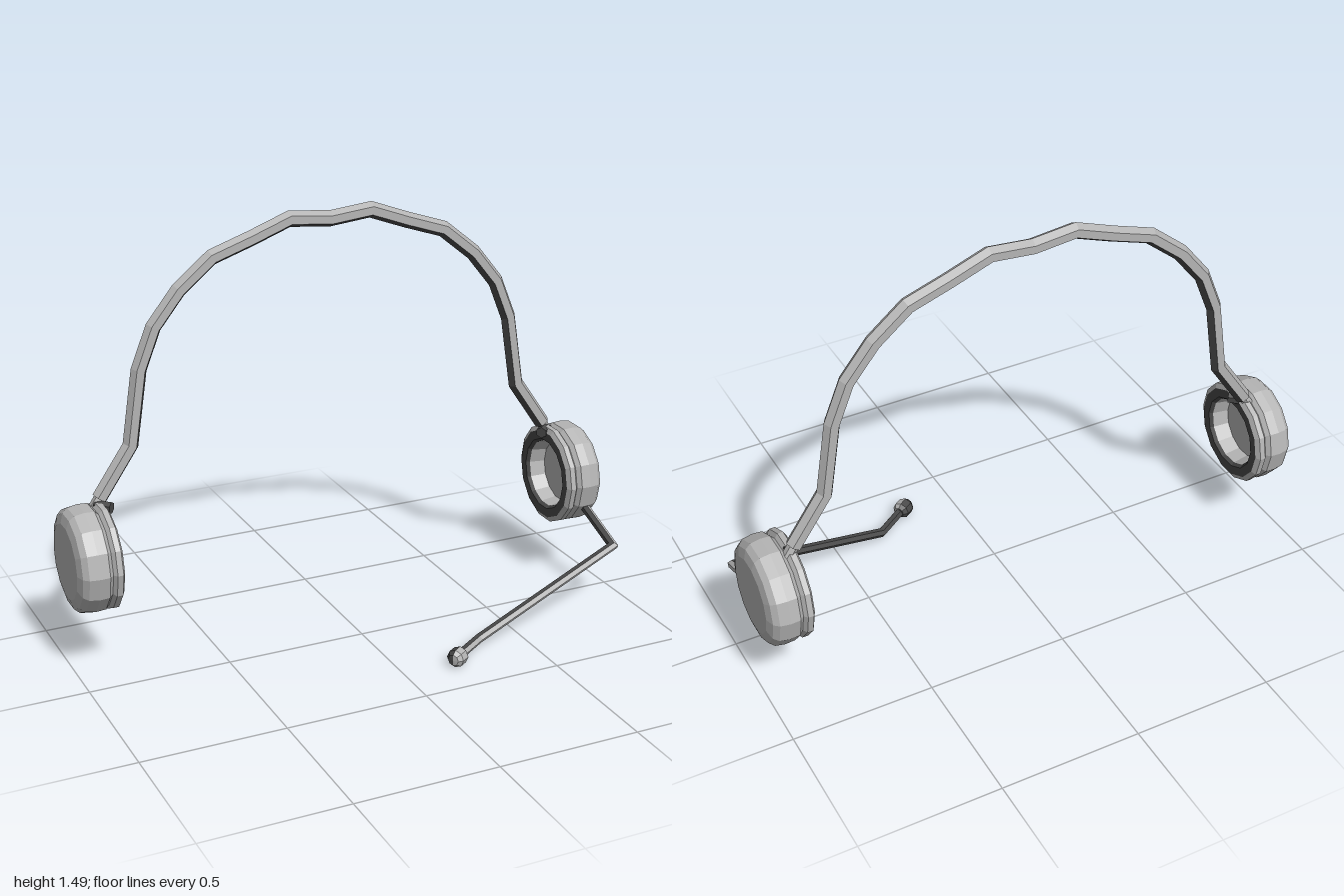
import * as THREE from 'three';

// Faceted normals
function flat(geo) {
  const g = geo.toNonIndexed();
  g.computeVertexNormals();
  return g;
}

// Mitred hexagonal rod along a polyline; `up` points to the first corner,
// `lined` lists the sides that take the second material
function sweep(path, radius, up, lined = []) {
  const sides = 6;
  const pts = path.map(p => new THREE.Vector3(...p));
  const dirs = pts.slice(1).map((p, i) => p.clone().sub(pts[i]).normalize());
  const u = new THREE.Vector3(...up);
  u.addScaledVector(dirs[0], -dirs[0].dot(u)).normalize();
  const v = dirs[0].clone().cross(u);
  const pos = [], main = [], lining = [];
  let ring = [];
  for (let k = 0; k < sides; k++) {
    const a = k / sides * Math.PI * 2;
    ring.push(pts[0].clone().addScaledVector(u, radius * Math.cos(a)).addScaledVector(v, radius * Math.sin(a)));
  }
  pts.forEach((p, i) => {
    if (i > 0) {
      const d = dirs[i - 1];
      const n = d.clone().add(dirs[i] || d).normalize();
      ring = ring.map(q => q.clone().addScaledVector(d, p.clone().sub(q).dot(n) / d.dot(n)));
    }
    ring.forEach(q => pos.push(q.x, q.y, q.z));
    if (i > 0) for (let k = 0; k < sides; k++) {
      const a = (i - 1) * sides + k, b = (i - 1) * sides + (k + 1) % sides;
      (lined.includes(k) ? lining : main).push(a, b, a + sides, b, b + sides, a + sides);
    }
  });
  // End caps
  const last = (pts.length - 1) * sides;
  for (let k = 1; k < sides - 1; k++) {
    main.push(0, k + 1, k, last, last + k, last + k + 1);
  }
  const g = new THREE.BufferGeometry();
  g.setAttribute('position', new THREE.Float32BufferAttribute(pos, 3));
  g.setIndex([...main, ...lining]);
  g.addGroup(0, main.length, 0);
  g.addGroup(main.length, lining.length, 1);
  return flat(g);
}

const profile = list => list.map(p => new THREE.Vector2(...p));

export function createModel() {
  const model = new THREE.Group();
  model.name = 'headset';
  const grey = new THREE.MeshStandardMaterial({ color: 0xb4b4b4 });
  grey.name = 'light grey plastic';
  const dark = new THREE.MeshStandardMaterial({ color: 0x484848 });
  dark.name = 'dark grey padding';
  const add = (name, geo, material, parent = model) => {
    const m = new THREE.Mesh(geo, material);
    m.name = name;
    parent.add(m);
  };

  // Headband: mirrored half-arch with a dark lining on the inner sides
  const half = [[0.855, 0.584], [0.738, 0.755], [0.698, 1.015], [0.642, 1.155], [0.55, 1.27],
    [0.43, 1.368], [0.29, 1.415], [0.15, 1.467]];
  const arch = [...half.map(([x, y]) => [-x, y, -0.25]), [0, 1.452, -0.25],
    ...half.slice().reverse().map(([x, y]) => [x, y, -0.25])];
  add('headband', sweep(arch, 0.028, [-0.8, 0.6, 0], [2, 3]), [grey, dark]);

  // Ear cups (radius, distance from centre): recess, cushion, rounded shell
  const cupParts = [
    ['cupRecess', grey, [[0, 0.915], [0.115, 0.915], [0.125, 0.858]]],
    ['cushion', dark, [[0.125, 0.858], [0.134, 0.846], [0.167, 0.845]]],
    ['cupShell', grey, [[0.167, 0.845], [0.185, 0.855], [0.185, 0.875], [0.171, 0.886], [0.185, 0.9],
      [0.187, 0.935], [0.181, 0.97], [0.165, 0.988], [0.132, 0.998], [0, 1.0]]],
  ];
  for (const side of [1, -1]) {
    const cup = new THREE.Group();
    cup.name = side > 0 ? 'leftEarpiece' : 'rightEarpiece';
    cup.position.set(0, 0.395, -0.205);
    model.add(cup);
    for (const [name, material, points] of cupParts) {
      const geo = new THREE.LatheGeometry(profile(points), 14);
      geo.rotateZ(-Math.PI / 2);
      if (side < 0) geo.rotateY(Math.PI);
      add(name, flat(geo), material, cup);
    }
    // Thin post under the band and the pivot beside it
    add('bandPost', sweep([[side * 0.88, 0.15, -0.045], [side * 0.85, 0.195, -0.045]], 0.02, [0, 0, 1]), grey, cup);
    add('pivot', sweep([[side * 0.872, 0.165, -0.04], [side * 0.828, 0.165, 0]], 0.021, [0, 1, 0]), dark, cup);
  }

  // Microphone boom, dark on the sides facing the wearer and the ground
  const tip = [0.195, 0.038, 0.352];
  add('microphoneBoom', sweep([[0.935, 0.305, -0.06], [0.935, 0.227, 0.145], [0.325, 0.038, 0.263], tip],
    0.0165, [0, 1, 0], [0, 1, 2, 3]), [grey, dark]);

  // Microphone capsule: light front half, dark back half
  const along = new THREE.Vector3(-0.84, 0, 0.55).normalize();
  const turn = new THREE.Quaternion().setFromUnitVectors(new THREE.Vector3(0, 1, 0), along);
  const outline = profile([[0, -0.034], [0.02, -0.032], [0.032, -0.017], [0.032, 0.017], [0.02, 0.032], [0, 0.034]]);
  [['microphoneFront', grey, 0.58 - Math.PI / 2], ['microphoneBack', dark, 0.58 + Math.PI / 2]]
    .forEach(([name, material, start]) => {
      const geo = new THREE.LatheGeometry(outline, 4, start, Math.PI);
      geo.applyQuaternion(turn);
      geo.translate(...tip);
      add(name, flat(geo), material);
    });

  return model;
}
